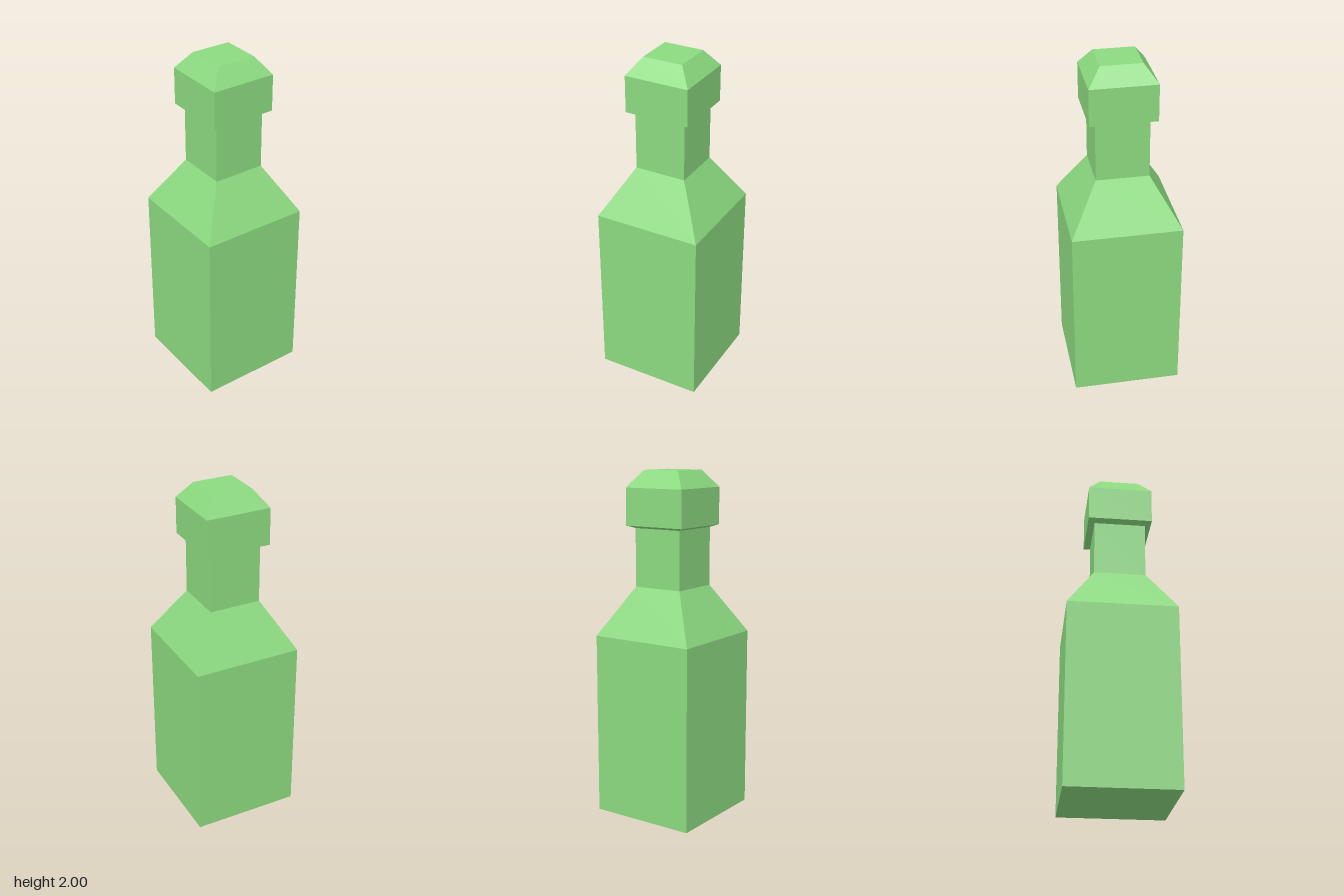
import * as THREE from 'three';

// Square-section solid: each profile point is [half width, height], bottom to top
function squareLathe(name, profile, material) {
  const points = profile.map(([half, y]) => new THREE.Vector2(half * Math.SQRT2, y));
  const geometry = new THREE.LatheGeometry(points, 4, Math.PI / 4).toNonIndexed();
  geometry.computeVertexNormals();
  const mesh = new THREE.Mesh(geometry, material);
  mesh.name = name;
  return mesh;
}

export function createModel() {
  const group = new THREE.Group();
  group.name = 'bottle';
  const glass = new THREE.MeshStandardMaterial({ name: 'green glass', color: 0x8cda80, flatShading: true });

  // Base, straight sides, sloped shoulders and neck
  group.add(squareLathe('bottleBody', [
    [0, 0], [0.316, 0], [0.316, 1.06], [0.152, 1.34], [0.152, 1.676],
  ], glass));

  // Wider cap with a slightly sloped underside and chamfered top
  group.add(squareLathe('cap', [
    [0.152, 1.676], [0.19, 1.69], [0.19, 1.903], [0.117, 2], [0, 2],
  ], glass));

  return group;
}
